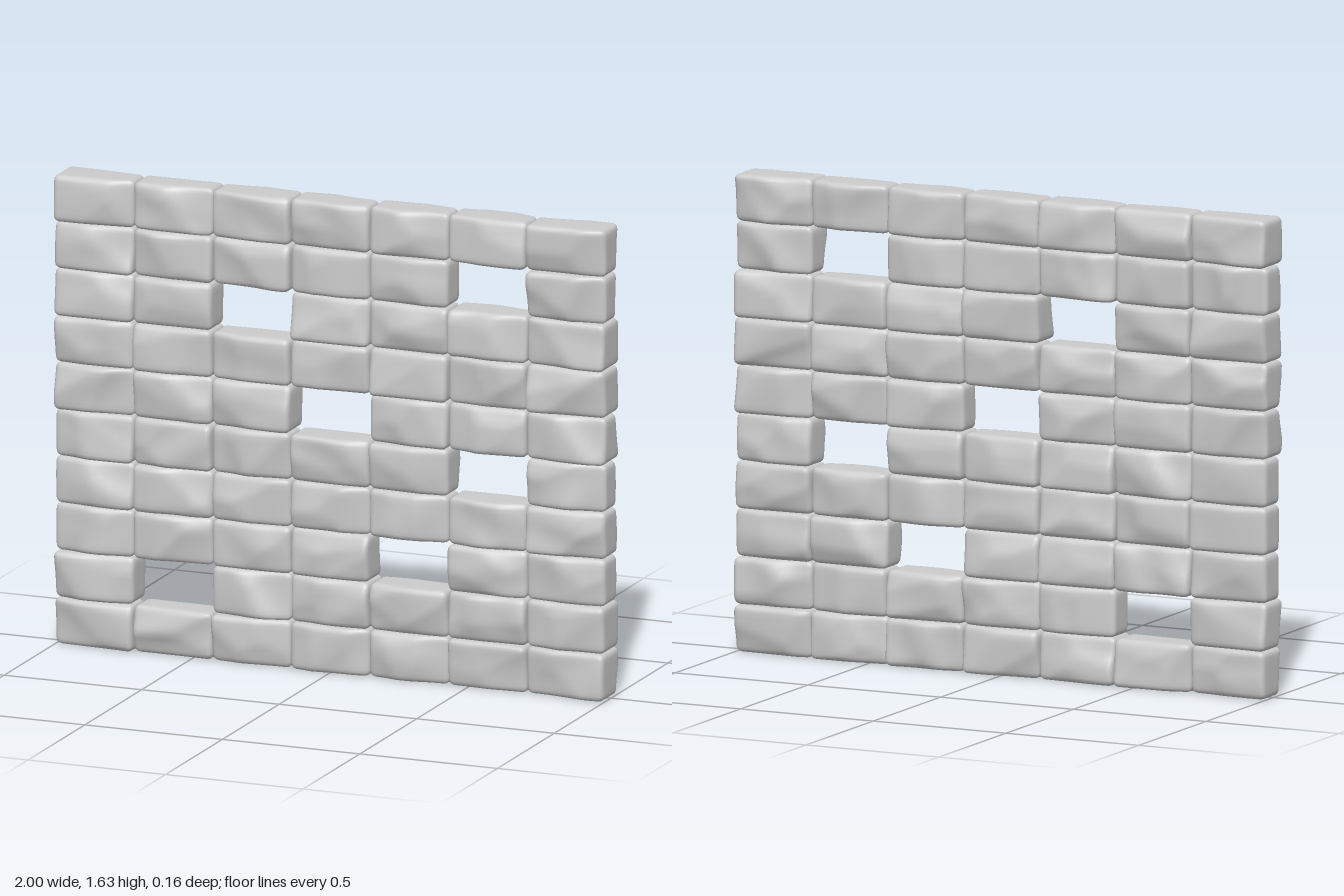
import * as THREE from 'three';
import { mergeVertices } from 'three/addons/utils/BufferGeometryUtils.js';

const COLS = 7, ROWS = 10;
const W = 2 / COLS, H = 0.1635, D = 0.16, R = 0.021;
// missing bricks as "row,column", counted from the bottom left
const GAPS = new Set(['1,1', '2,4', '4,5', '5,3', '7,2', '8,5']);

function seeded(seed) {
  let s = seed;
  return () => {
    s = (s + 0x6d2b79f5) | 0;
    let t = Math.imul(s ^ (s >>> 15), 1 | s);
    t = (t + Math.imul(t ^ (t >>> 7), 61 | t)) ^ t;
    return ((t ^ (t >>> 14)) >>> 0) / 4294967296;
  };
}

// Chiselled face: how far the stone is cut back at (x, y)
function chiselledFace(rand) {
  const cuts = Array.from({ length: 4 }, () => ({
    a: rand() * Math.PI * 2, start: 0.005 + rand() * 0.08, slope: 0.12 + rand() * 0.35,
  }));
  const a = rand() * 6.3, phase = rand() * 6.3, freq = 20 + rand() * 20, amp = 0.002 + rand() * 0.004;
  return (x, y) => {
    let cut = 0;
    for (const c of cuts) {
      cut = Math.max(cut, c.slope * (x * Math.cos(c.a) + y * Math.sin(c.a) - c.start));
    }
    cut += amp * (1 + Math.sin(freq * (x * Math.cos(a) + y * Math.sin(a)) + phase));
    return 0.035 * Math.tanh(cut / 0.035);
  };
}

// Moves the two outermost grid rings onto the rounded edge
function edgeSpacing(v, size, segments) {
  const k = Math.round((v / size + 0.5) * segments);
  const half = size / 2;
  if (k === 0 || k === segments) return Math.sign(v) * half;
  const inner = half - R;
  if (k === 1 || k === segments - 1) return Math.sign(v) * (half - R * 0.5);
  return -inner + (2 * inner * (k - 2)) / (segments - 4);
}

function brickGeometry(rand) {
  const seg = [16, 11, 8], size = [W, H, D];
  const geo = new THREE.BoxGeometry(...size, ...seg);
  geo.deleteAttribute('uv');
  geo.deleteAttribute('normal');
  const front = chiselledFace(rand), back = chiselledFace(rand);
  const pos = geo.attributes.position;
  const p = new THREE.Vector3(), core = new THREE.Vector3();
  const limit = new THREE.Vector3(W / 2 - R, H / 2 - R, D / 2 - R);
  const low = limit.clone().negate();
  for (let i = 0; i < pos.count; i++) {
    p.fromBufferAttribute(pos, i);
    p.set(...p.toArray().map((v, k) => edgeSpacing(v, size[k], seg[k])));
    // round the edges and corners
    core.copy(p).clamp(low, limit);
    p.sub(core).setLength(R).add(core);
    // cut the front and back
    const cut = p.z > 0 ? front(p.x, p.y) : back(p.x, p.y);
    p.z *= 1 - cut / (D / 2);
    pos.setXYZ(i, p.x, p.y, p.z);
  }
  const merged = mergeVertices(geo, 1e-5);
  merged.computeVertexNormals();
  return merged;
}

export function createModel() {
  const wall = new THREE.Group();
  wall.name = 'stoneWall';
  const stone = new THREE.MeshStandardMaterial({ color: 0xcccccc });
  for (let row = 0; row < ROWS; row++) {
    const course = new THREE.Group();
    course.name = `course${row + 1}`;
    course.position.y = (row + 0.5) * H;
    for (let col = 0; col < COLS; col++) {
      if (GAPS.has(`${row},${col}`)) continue;
      const brick = new THREE.Mesh(brickGeometry(seeded(row * 31 + col * 7 + 5)), stone);
      brick.name = `brick${col + 1}`;
      brick.position.x = (col + 0.5) * W - 1;
      course.add(brick);
    }
    wall.add(course);
  }
  return wall;
}
